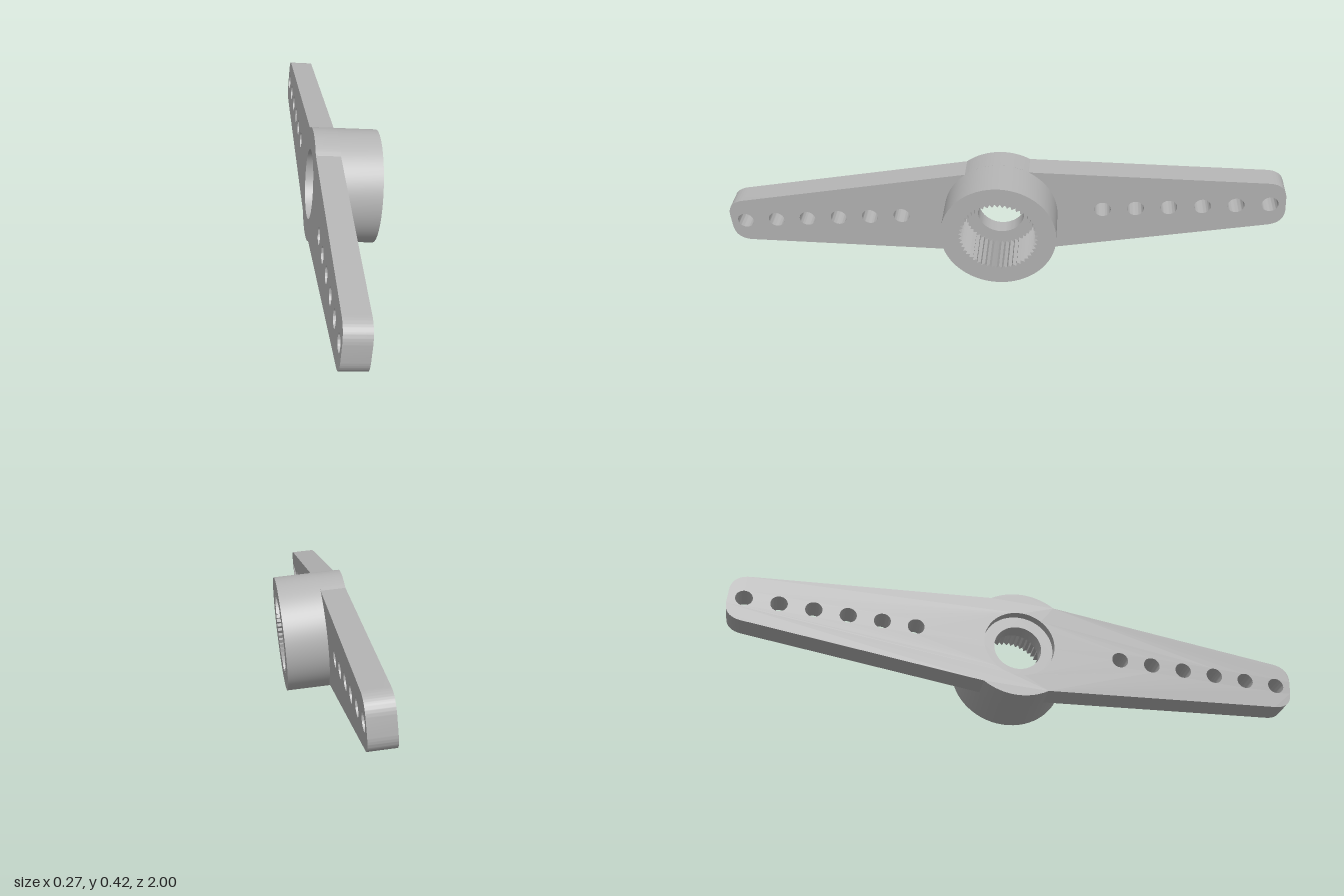
import * as THREE from 'three';
import { toCreasedNormals } from 'three/addons/utils/BufferGeometryUtils.js';

const HUB_R = 0.203, BACK = -0.1165, PLATE_FRONT = -0.03, FRONT = 0.1165;
const RECESS_R = 0.125, BORE_R = 0.084, TILT = 0.083;

function circle(x, y, r) {
  const p = new THREE.Path();
  p.absarc(x, y, r, 0, Math.PI * 2, true);
  return p;
}

function disc(r) {
  const s = new THREE.Shape();
  s.absarc(0, 0, r, 0, Math.PI * 2, false);
  return s;
}

// Tapered two-arm outline with a round middle and filleted ends
function plateShape() {
  const s = new THREE.Shape();
  const a = Math.atan2(0.1687, 0.113);
  for (const k of [1, -1]) {
    const start = k > 0 ? -a : Math.PI - a;
    if (k > 0) s.moveTo(0.113, -0.1687);
    else s.lineTo(HUB_R * Math.cos(start), HUB_R * Math.sin(start));
    s.lineTo(0.94 * k, -0.088 * k);
    s.quadraticCurveTo(1.002 * k, -0.082 * k, 1.002 * k, -0.022 * k);
    s.lineTo(1.002 * k, 0.022 * k);
    s.quadraticCurveTo(1.002 * k, 0.082 * k, 0.94 * k, 0.088 * k);
    s.lineTo(0.113 * k, 0.1687 * k);
    const from = k > 0 ? a : Math.PI + a;
    s.absarc(0, 0, HUB_R, from, from + Math.PI - 2 * a, false);
    // Row of link holes along this arm
    for (let i = 0; i < 6; i++) s.holes.push(circle(k * (0.364 + 0.1168 * i), 0, 0.029));
  }
  s.holes.push(circle(0, 0, RECESS_R));
  return s;
}

// Zigzag outline of the splined socket
function splinePath(teeth) {
  const pts = [];
  for (let i = 0; i < teeth * 2; i++) {
    const a = (i / (teeth * 2)) * Math.PI * 2;
    const r = i % 2 ? 0.128 : 0.14;
    pts.push(new THREE.Vector2(r * Math.cos(a), r * Math.sin(a)));
  }
  return new THREE.Path(pts);
}

export function createModel() {
  const grey = new THREE.MeshStandardMaterial({ color: 0xb4b4b4 });
  grey.name = 'grey plastic';
  const horn = new THREE.Group();
  horn.name = 'doubleArmHorn';

  const add = (name, shape, z0, z1) => {
    const geo = new THREE.ExtrudeGeometry(shape, { depth: z1 - z0, bevelEnabled: false, curveSegments: 32 });
    geo.translate(0, 0, z0);
    const mesh = new THREE.Mesh(toCreasedNormals(geo, 0.45), grey);
    mesh.name = name;
    horn.add(mesh);
  };

  // Arms, with the shallow screw recess at the back
  add('armPlate', plateShape(), BACK, PLATE_FRONT);

  // Floor of the socket with the screw hole
  const floor = disc(RECESS_R);
  floor.holes.push(circle(0, 0, BORE_R));
  add('socketFloor', floor, -0.086, PLATE_FRONT);

  // Hub with splined socket
  const hub = disc(HUB_R);
  hub.holes.push(splinePath(48));
  add('splinedHub', hub, PLATE_FRONT, FRONT);

  // Hub axis faces the model's left, slightly tilted both ways
  horn.rotation.set(TILT, Math.PI / 2, -TILT, 'ZXY');
  horn.position.y = 0.212;

  const model = new THREE.Group();
  model.name = 'model';
  model.add(horn);
  return model;
}
